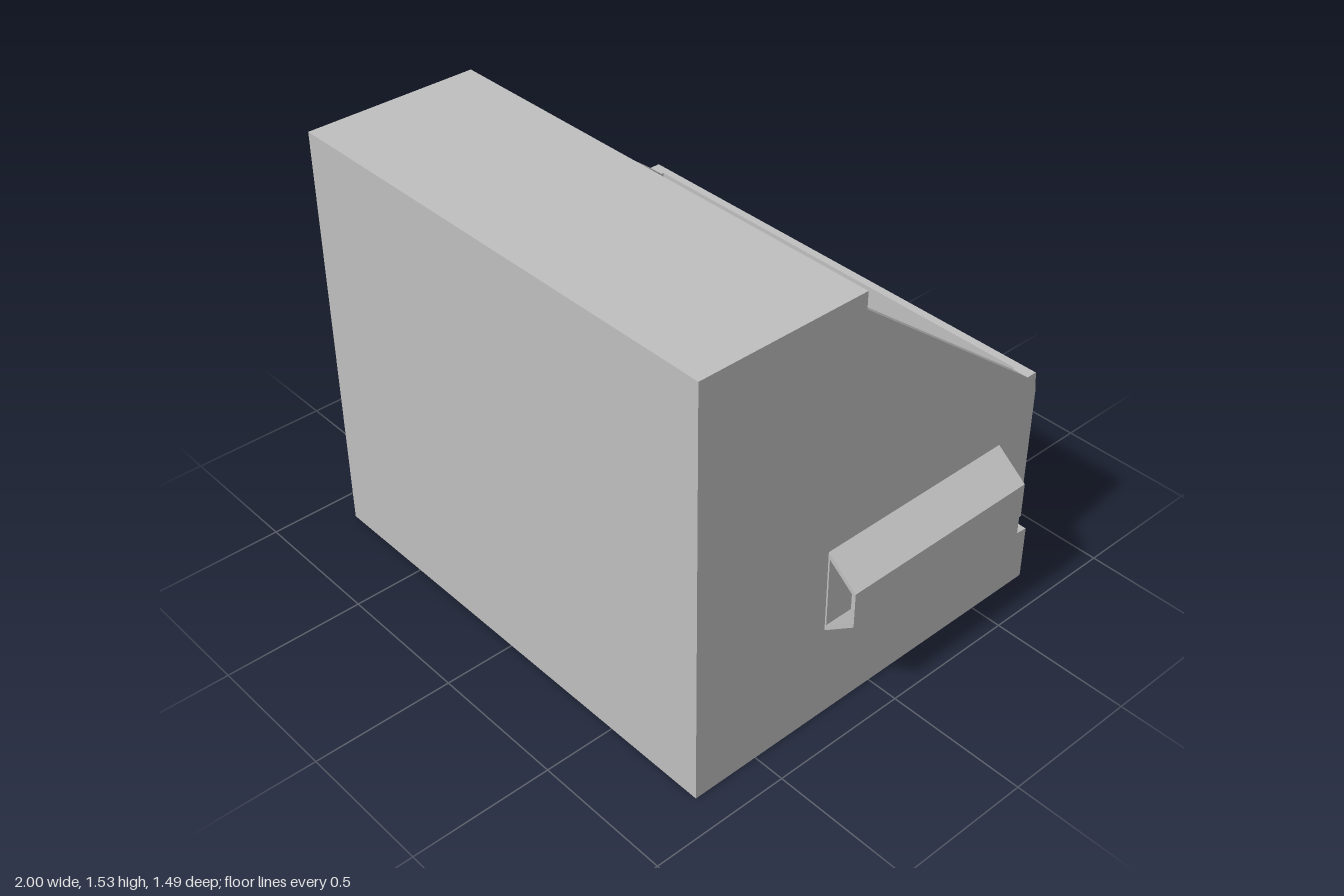
import * as THREE from 'three';

const W = 0.885;      // half width of the body
const WALL = 0.06;    // wall thickness

export function createModel() {
  const group = new THREE.Group();
  const steel = new THREE.MeshStandardMaterial({ color: 0xc0c0c0 });
  steel.name = 'grey steel';

  const add = (name, geometry, x = 0, y = 0, z = 0) => {
    const mesh = new THREE.Mesh(geometry, steel);
    mesh.name = name;
    mesh.position.set(x, y, z);
    group.add(mesh);
    return mesh;
  };
  const toShape = (pts) => new THREE.Shape(pts.map(([a, b]) => new THREE.Vector2(a, b)));
  // Extrudes a (z, y) profile along x, centred on x = 0
  const sideProfile = (pts, width) => {
    const g = new THREE.ExtrudeGeometry(toShape(pts), { depth: width, bevelEnabled: false });
    return g.translate(0, 0, -width / 2).rotateY(-Math.PI / 2);
  };

  // Side walls with the sloping loading edge
  const wallProfile = [
    [0.745, 0], [0.745, 1.53], [0.12, 1.53], [0.12, 1.47], [-0.65, 0.87],
    [-0.69, 0.87], [-0.70, 0.80], [-0.70, 0.21], [-0.745, 0.205], [-0.745, 0],
  ];
  for (const s of [-1, 1]) {
    add(s > 0 ? 'leftWall' : 'rightWall', sideProfile(wallProfile, WALL), s * (W - WALL / 2));
  }

  // Walls between the sides
  const inner = 2 * (W - WALL);
  add('frontWall', new THREE.BoxGeometry(inner, 1.53, 0.03), 0, 0.765, 0.73);
  add('hood', new THREE.BoxGeometry(inner, WALL, 0.595), 0, 1.5, 0.4175);
  add('base', new THREE.BoxGeometry(inner, 0.05, 1.375), 0, 0.025, 0.0275);
  add('backWall', sideProfile([
    [-0.66, 0], [-0.66, 0.87], [-0.69, 0.87], [-0.70, 0.80],
    [-0.70, 0.21], [-0.745, 0.205], [-0.745, 0],
  ], inner));

  // Raised back panels, bevelled at both sides and at the bottom
  const seams = [-W, -0.295, 0.295, W];
  for (let i = 0; i < 3; i++) {
    add('backPanel', bevelledPanel(seams[i], seams[i + 1], 0.205, 0.80, 0.035));
  }

  // Hollow lifting pockets on the sides
  const pocket = toShape([[0, 0.35], [0.115, 0.44], [0.115, 0.57], [0, 0.66]]);
  pocket.holes.push(new THREE.Path(
    [[0.006, 0.375], [0.006, 0.635], [0.1, 0.562], [0.1, 0.448]].map(([x, y]) => new THREE.Vector2(x, y))));
  for (const s of [-1, 1]) {
    const g = new THREE.ExtrudeGeometry(pocket, { depth: 0.765, bevelEnabled: false });
    if (s < 0) g.translate(0, 0, -0.765).rotateY(Math.PI);
    add(s > 0 ? 'leftLiftPocket' : 'rightLiftPocket', g, s * W, 0, -0.545);
  }

  // Uneven heap covering the floor inside, rows from back to front
  const heights = [
    [0.28, 0.26, 0.25, 0.28, 0.28],
    [0.30, 0.36, 0.36, 0.32, 0.30],
    [0.35, 0.38, 0.38, 0.27, 0.31],
    [0.38, 0.40, 0.36, 0.31, 0.285],
    [0.36, 0.40, 0.39, 0.28, 0.46],
  ].flat();
  const heap = new THREE.PlaneGeometry(inner, 1.375, 4, 4).rotateX(-Math.PI / 2);
  heights.forEach((h, i) => heap.attributes.position.setY(i, h));
  heap.computeVertexNormals();
  add('contents', heap, 0, 0, 0.0275);

  return group;
}

// Plate standing out from the back wall, tapering towards its face
function bevelledPanel(x0, x1, y0, y1, bevel) {
  const g = new THREE.BoxGeometry(x1 - x0, y1 - y0, 0.032);
  const p = g.attributes.position;
  for (let i = 0; i < p.count; i++) {
    if (p.getZ(i) > 0) continue;
    p.setX(i, p.getX(i) - Math.sign(p.getX(i)) * bevel);
    if (p.getY(i) < 0) p.setY(i, p.getY(i) + bevel);
  }
  g.computeVertexNormals();
  return g.translate((x0 + x1) / 2, (y0 + y1) / 2, -0.716);
}
